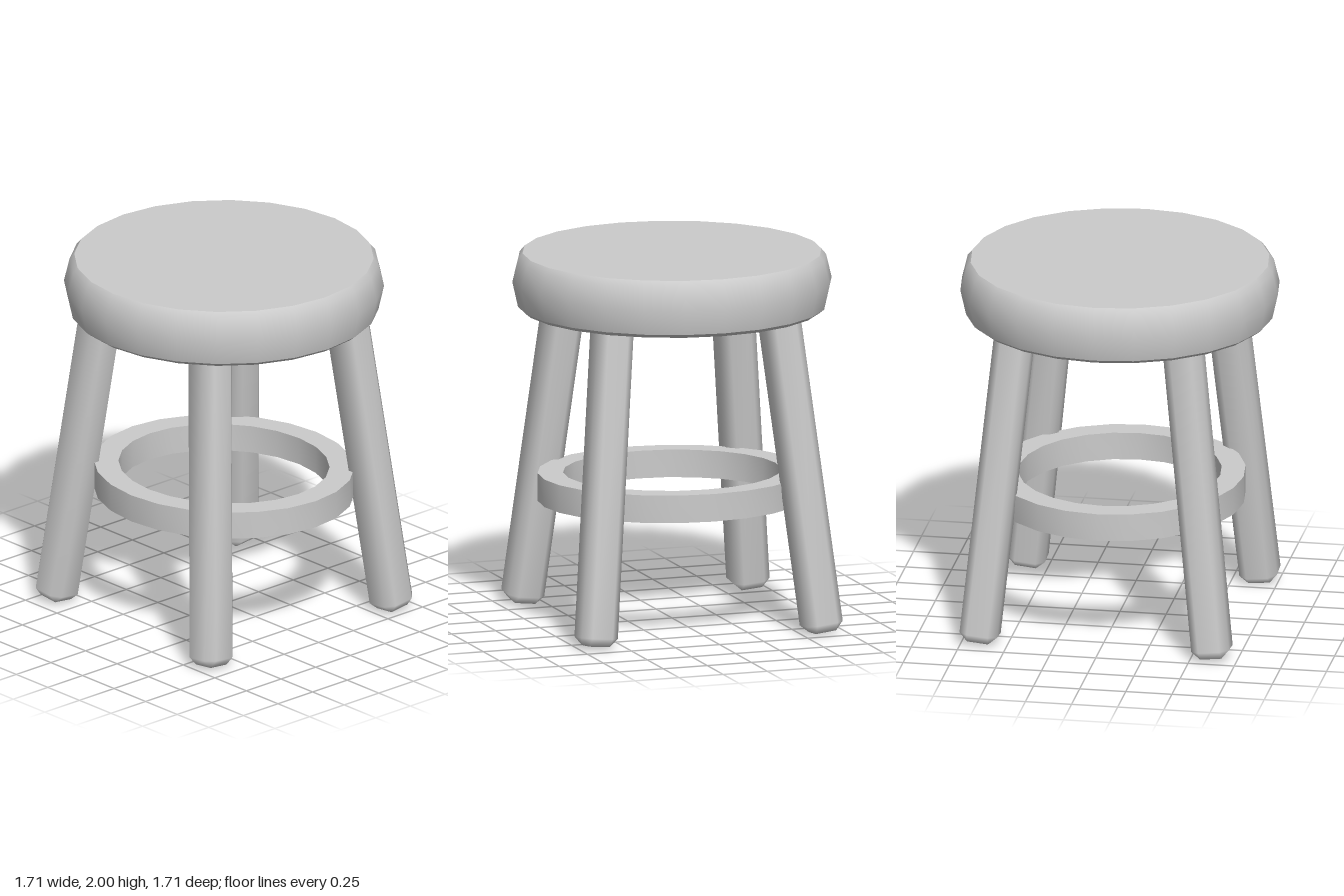
import * as THREE from 'three';
import { toCreasedNormals } from 'three/addons/utils/BufferGeometryUtils.js';

const SIDES = 24;

// Turned part with smooth sides and crisp rims
function turned(profile, xScale, zScale, material) {
  const points = profile.map(([r, y]) => new THREE.Vector2(r, y));
  const geometry = new THREE.LatheGeometry(points, SIDES);
  geometry.scale(xScale, 1, zScale);
  return new THREE.Mesh(toCreasedNormals(geometry, 0.62), material);
}

// Square post with chamfered corners and a bevelled, open foot
function legGeometry(length) {
  const half = 0.1025, bevel = 0.045, core = half - bevel;
  const rings = [[core, 0], [half, bevel], [half, length]];
  const positions = [], index = [];
  for (const [h, y] of rings) {
    for (let k = 0; k < 4; k++) {
      const c = [1, 0, -1, 0][k], s = [0, 1, 0, -1][k];
      for (const side of [-core, core]) {
        positions.push(c * h - s * side, y, s * h + c * side);
      }
    }
  }
  for (let r = 0; r < rings.length - 1; r++) {
    for (let i = 0; i < 8; i++) {
      const a = r * 8 + i, b = r * 8 + (i + 1) % 8;
      index.push(a, a + 8, b, b, a + 8, b + 8);
    }
  }
  const geometry = new THREE.BufferGeometry();
  geometry.setAttribute('position', new THREE.Float32BufferAttribute(positions, 3));
  geometry.setIndex(index);
  geometry.computeVertexNormals();
  return geometry;
}

export function createModel() {
  const model = new THREE.Group();
  model.name = 'stool';
  const material = new THREE.MeshStandardMaterial({ color: 0xcccccc, side: THREE.DoubleSide });

  // Round seat: bulging rim, hollow underneath
  const seat = turned([
    [0.80, 1.69], [0.825, 1.71], [0.855, 1.845], [0.825, 1.97], [0.80, 2], [0, 2],
  ], 1, 1, material);
  seat.name = 'seat';
  model.add(seat);

  // Slightly oval foot ring, open below
  const footRing = turned([
    [1, 0.655], [1, 0.805], [0.81, 0.805], [0.81, 0.655],
  ], 0.67, 0.725, material);
  footRing.name = 'footRing';
  model.add(footRing);

  // Four splayed legs, each a quarter turn from the last
  const foot = new THREE.Vector3(0.617, 0.012, 0.655);
  const top = new THREE.Vector3(0.428, 1.71, 0.493);
  const axis = top.clone().sub(foot);
  const geometry = legGeometry(axis.length());
  const names = ['frontLeftLeg', 'backLeftLeg', 'backRightLeg', 'frontRightLeg'];
  names.forEach((name, i) => {
    const leg = new THREE.Mesh(geometry, material);
    leg.position.copy(foot);
    leg.quaternion.setFromUnitVectors(new THREE.Vector3(0, 1, 0), axis.clone().normalize());
    const holder = new THREE.Group();
    holder.name = name;
    holder.rotation.y = i * Math.PI / 2;
    holder.add(leg);
    model.add(holder);
  });

  return model;
}
